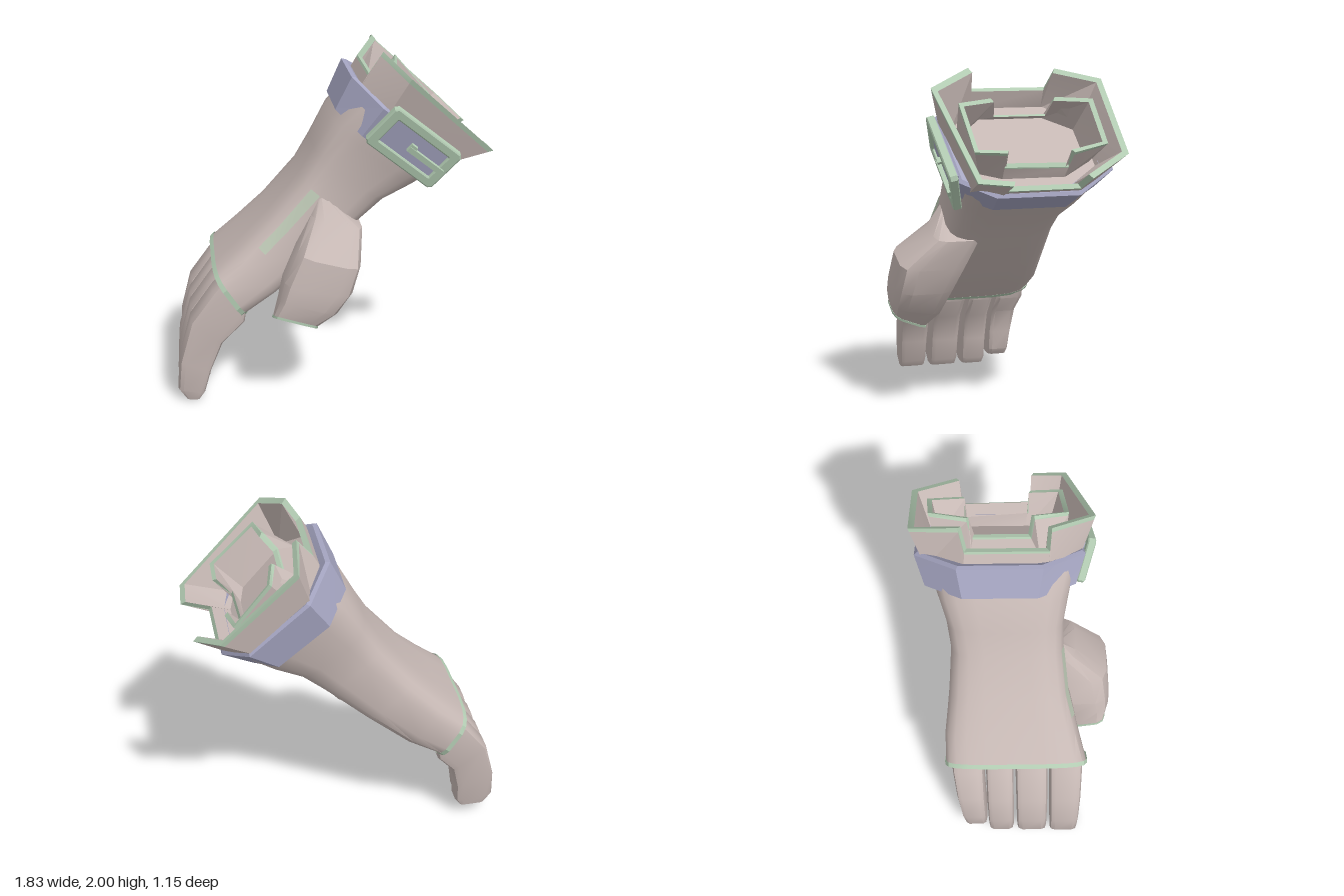
import * as THREE from 'three';
import { toCreasedNormals } from 'three/addons/utils/BufferGeometryUtils.js';

const mat = (name, color) => {
  const m = new THREE.MeshStandardMaterial({ color, side: THREE.DoubleSide });
  m.name = name;
  return m;
};
const V = (x, y, z) => new THREE.Vector3(x, y, z);

// Skin a list of closed loops, with optional end caps; crease sets the sharp-edge angle
function loft(loops, { capStart = false, capEnd = false, crease = 0.6 } = {}) {
  const pos = [];
  const tri = (a, b, c) => pos.push(...a.toArray(), ...b.toArray(), ...c.toArray());
  const n = loops[0].length;
  for (let i = 0; i + 1 < loops.length; i++) {
    for (let j = 0; j < n; j++) {
      const k = (j + 1) % n;
      const a = loops[i][j], b = loops[i][k], c = loops[i + 1][k], d = loops[i + 1][j];
      tri(a, b, c);
      tri(a, c, d);
    }
  }
  const cap = (loop, flip) => {
    const m = centre(loop);
    loop.forEach((p, j) => {
      const q = loop[(j + 1) % n];
      flip ? tri(m, q, p) : tri(m, p, q);
    });
  };
  if (capStart) cap(loops[0], true);
  if (capEnd) cap(loops[loops.length - 1], false);
  const g = new THREE.BufferGeometry();
  g.setAttribute('position', new THREE.Float32BufferAttribute(pos, 3));
  return toCreasedNormals(g, crease);
}

const centre = (loop) => loop.reduce((s, p) => s.add(p), V(0, 0, 0)).divideScalar(loop.length);
const mix = (a, b, t) => a.map((p, i) => p.clone().lerp(b[i], t));

// Scale a loop about its centre (sxy in the tilted plane, sz in depth) and shift it
function shrink(loop, sxy, sz, dx = 0, dy = 0) {
  const c = centre(loop);
  return loop.map((p) => V(c.x + (p.x - c.x) * sxy + dx, c.y + (p.y - c.y) * sxy + dy, c.z + (p.z - c.z) * sz));
}

// Rounded-box cross-section between a back point, a palm point and two depths;
// tilt raises the front side
function section([bx, by, px, py, z0, z1, tilt = 0], n = 20, e = 0.5) {
  const pts = [];
  for (let i = 0; i < n; i++) {
    const a = ((i + 0.5) / n) * Math.PI * 2;
    const c = Math.cos(a), s = Math.sin(a);
    const u = 0.5 + 0.5 * Math.sign(c) * Math.abs(c) ** e;
    const w = 0.5 + 0.5 * Math.sign(s) * Math.abs(s) ** e;
    pts.push(V(bx + (px - bx) * u, by + (py - by) * u + tilt * (w - 0.5), z0 + (z1 - z0) * w));
  }
  return pts;
}

// Chamfered rectangle cross-section
function octagon([bx, by, px, py, z0, z1]) {
  const p = (u, w) => V(bx + (px - bx) * u, by + (py - by) * u, z0 + (z1 - z0) * w);
  return [p(0, 0.25), p(0, 0.75), p(0.24, 1), p(0.85, 0.95), p(1, 0.75), p(1, 0.25), p(0.78, 0), p(0.24, 0)];
}

export function createModel() {
  const root = new THREE.Group();
  root.name = 'gauntlet';
  const leather = mat('leather', 0xc6b8b4);
  const trim = mat('paleGreenTrim', 0xb2cbb2);
  const strapMat = mat('lavenderStrap', 0xa6a6c2);
  const stainMat = mat('greenStain', 0xbac5b2);
  const add = (name, geo, m, parent = root) => {
    const mesh = new THREE.Mesh(geo, m);
    mesh.name = name;
    parent.add(mesh);
    return mesh;
  };

  // Hand and wrist
  const hand = [
    [0.12, 1.74, 0.6, 1.3, -0.47, 0.36],
    [0.0, 1.61, 0.47, 1.21, -0.43, 0.32],
    [-0.1, 1.43, 0.3, 1.12, -0.38, 0.29],
    [-0.19, 1.28, 0.16, 1.0, -0.36, 0.29],
    [-0.38, 1.06, -0.08, 0.8, -0.38, 0.32],
    [-0.55, 0.9, -0.33, 0.61, -0.41, 0.38],
    [-0.69, 0.78, -0.51, 0.51, -0.41, 0.43],
  ].map((s) => section(s));
  add('hand', loft(hand), leather);
  const hem = shrink(hand[hand.length - 1], 1.03, 1.015);
  const hemEnd = shrink(hem, 1, 1, -0.014, -0.012);
  const hemHole = shrink(hemEnd, 0.88, 0.94);
  add('knuckleHem', loft([shrink(hem, 1, 1, 0.008, 0.006), hem, hemEnd, hemHole], { crease: 0.4 }), trim);
  add('knuckleInside', loft([hemHole, shrink(hemHole, 0.9, 0.95, 0.05, 0.04)], { capEnd: true }), leather);

  // Pale stain along the front edge of the hand
  const stain = [hand[3], hand[4], mix(hand[4], hand[5], 0.6)].map((l) => shrink(l, 1.005, 1.012).slice(5, 7));
  add('edgeStain', loft(stain), stainMat);

  // Four curled fingers, from the thumb side outward
  const rows = [
    [-0.63, 0.77, -0.51, 0.6, 0],
    [-0.71, 0.68, -0.53, 0.48, 0],
    [-0.84, 0.5, -0.66, 0.35, 0.35],
    [-0.91, 0.25, -0.73, 0.18, 0.7],
    [-0.925, 0.07, -0.77, 0.04, 1],
    [-0.88, 0.005, -0.8, 0.0, 1],
  ];
  const edges = [[0.41, 0.207], [0.203, 0.002], [-0.002, -0.175], [-0.18, -0.375]];
  edges.forEach(([z1, z0], i) => {
    const loops = rows.map(([bx, by, px, py, t], r) => {
      const inset = r === rows.length - 1 ? 0.012 : 0.003;
      const lift = (i === 3 ? 0.07 : 0.006 * i) * t;
      const leanOut = (i === 3 ? 0.06 : 0.01) * t, leanIn = (i === 3 ? 0.01 : 0) * t;
      return section([bx + lift * 0.4, by + lift, px + 0.035 * i * t, py + lift, z0 + inset + leanOut, z1 - inset + leanIn - (i ? 0 : 0.015 * t)], 12, 0.35);
    });
    add('finger' + (i + 1), loft(loops, { capEnd: true, crease: 0.7 }), leather);
  });

  // Thumb with an open trimmed tip that leans outward
  const thumb = [
    [-0.09, 1.21, -0.03, 1.17, 0.12, 0.28],
    [-0.14, 1.09, 0.16, 1.0, 0.08, 0.37],
    [-0.23, 0.93, 0.13, 0.83, 0.15, 0.56],
    [-0.31, 0.76, 0.08, 0.68, 0.22, 0.58],
    [-0.335, 0.65, -0.01, 0.55, 0.28, 0.58, 0.05],
    [-0.37, 0.55, -0.12, 0.47, 0.35, 0.56, 0.08],
  ].map((s) => section(s, 12, 0.5));
  add('thumb', loft(thumb, { capStart: true, crease: 0.5 }), leather);
  const tip = shrink(thumb[thumb.length - 1], 1.02, 1.02);
  const tipEnd = shrink(tip, 1, 1, -0.005, -0.014);
  const tipHole = shrink(tipEnd, 0.75, 0.75);
  add('thumbTrim', loft([tip, tipEnd, tipHole]), trim);
  add('thumbInside', loft([tipHole, shrink(tipHole, 0.9, 0.9, 0.04, 0.08)], { capEnd: true }), leather);

  // Flared cuff, notched on the back and the palm side
  const rim = [
    [0.28, 2.0, 0.21], [0.4, 1.9, 0.45], [0.9, 1.44, 0.32], [0.91, 1.42, 0.13],
    [0.75, 1.37, 0.13], [0.74, 1.37, -0.3], [0.87, 1.44, -0.32], [0.74, 1.55, -0.57],
    [0.32, 1.93, -0.56], [0.29, 1.99, -0.29], [0.2, 1.88, -0.26], [0.2, 1.88, 0.2],
  ].map((p) => V(...p));
  const base = [
    [0.12, 1.74, 0.2], [0.25, 1.62, 0.36], [0.56, 1.34, 0.28], [0.6, 1.3, 0.13],
    [0.6, 1.3, 0.12], [0.6, 1.3, -0.29], [0.6, 1.3, -0.3], [0.48, 1.4, -0.5],
    [0.22, 1.64, -0.48], [0.12, 1.74, -0.27], [0.12, 1.74, -0.26], [0.12, 1.74, 0.19],
  ].map((p) => V(...p));
  const collar = mix(rim, base, 0.09);
  const lip = shrink(rim, 0.92, 0.93);
  const well = shrink(base, 0.9, 0.9, 0.05, 0.05);
  add('cuff', loft([base, collar], { crease: 0.3 }), leather);
  add('cuffTrim', loft([collar, rim, lip], { crease: 0.3 }), trim);
  add('cuffLining', loft([lip, well], { capEnd: true, crease: 0.3 }), leather);

  // Inner sleeve standing inside the cuff, notched the same way
  const inner = [
    [0.43, 1.84, 0.12], [0.46, 1.82, 0.31], [0.72, 1.58, 0.29], [0.72, 1.57, 0.11],
    [0.62, 1.48, 0.1], [0.6, 1.47, -0.28], [0.69, 1.56, -0.28], [0.66, 1.6, -0.48],
    [0.46, 1.83, -0.46], [0.42, 1.84, -0.25], [0.35, 1.74, -0.22], [0.35, 1.74, 0.1],
  ].map((p) => V(...p));
  const foot = shrink(base, 0.7, 0.84, 0.05, 0.05);
  const innerCollar = mix(inner, foot, 0.1);
  const innerLip = shrink(inner, 0.88, 0.93);
  add('innerSleeve', loft([foot, innerCollar], { crease: 0.3 }), leather);
  add('innerSleeveTrim', loft([innerCollar, inner, innerLip], { crease: 0.3 }), trim);
  add('innerSleeveLining', loft([innerLip, shrink(foot, 0.92, 0.94)], { crease: 0.3 }), leather);

  // Strap around the wrist
  const low = octagon([0.02, 1.66, 0.54, 1.24, -0.49, 0.35]);
  const high = octagon([0.11, 1.85, 0.72, 1.33, -0.54, 0.4]);
  const band = [shrink(low, 0.84, 0.86), low, high, shrink(high, 0.95, 0.96, 0.01, 0.01), shrink(high, 0.8, 0.84)];
  add('strap', loft(band, { crease: 0.3 }), strapMat);

  // Buckle on the thumb side
  const buckle = new THREE.Group();
  buckle.name = 'buckle';
  buckle.position.set(0.43, 1.5, 0.37);
  buckle.rotation.set(0.24, 0.09, -0.7, 'ZXY');
  root.add(buckle);
  const outline = (C, w, h, c) => {
    const pts = [[-w + c, -h], [w - c, -h], [w, -h + c], [w, h - c], [w - c, h], [-w + c, h], [-w, h - c], [-w, -h + c]];
    return new C(pts.map((p) => new THREE.Vector2(...p)));
  };
  const frame = outline(THREE.Shape, 0.24, 0.13, 0.015);
  frame.holes.push(outline(THREE.Path, 0.195, 0.09, 0.008));
  add('buckleFrame', new THREE.ExtrudeGeometry(frame, { depth: 0.035, bevelSize: 0.008, bevelThickness: 0.006, bevelSegments: 1 }), trim, buckle);
  add('bucklePlate', new THREE.BoxGeometry(0.4, 0.19, 0.04), strapMat, buckle).position.z = 0.005;
  add('buckleProng', new THREE.BoxGeometry(0.25, 0.032, 0.025), trim, buckle).position.set(0.095, -0.01, 0.045);
  add('prongHook', new THREE.BoxGeometry(0.04, 0.05, 0.025), trim, buckle).position.set(-0.01, -0.003, 0.04);
  return root;
}
